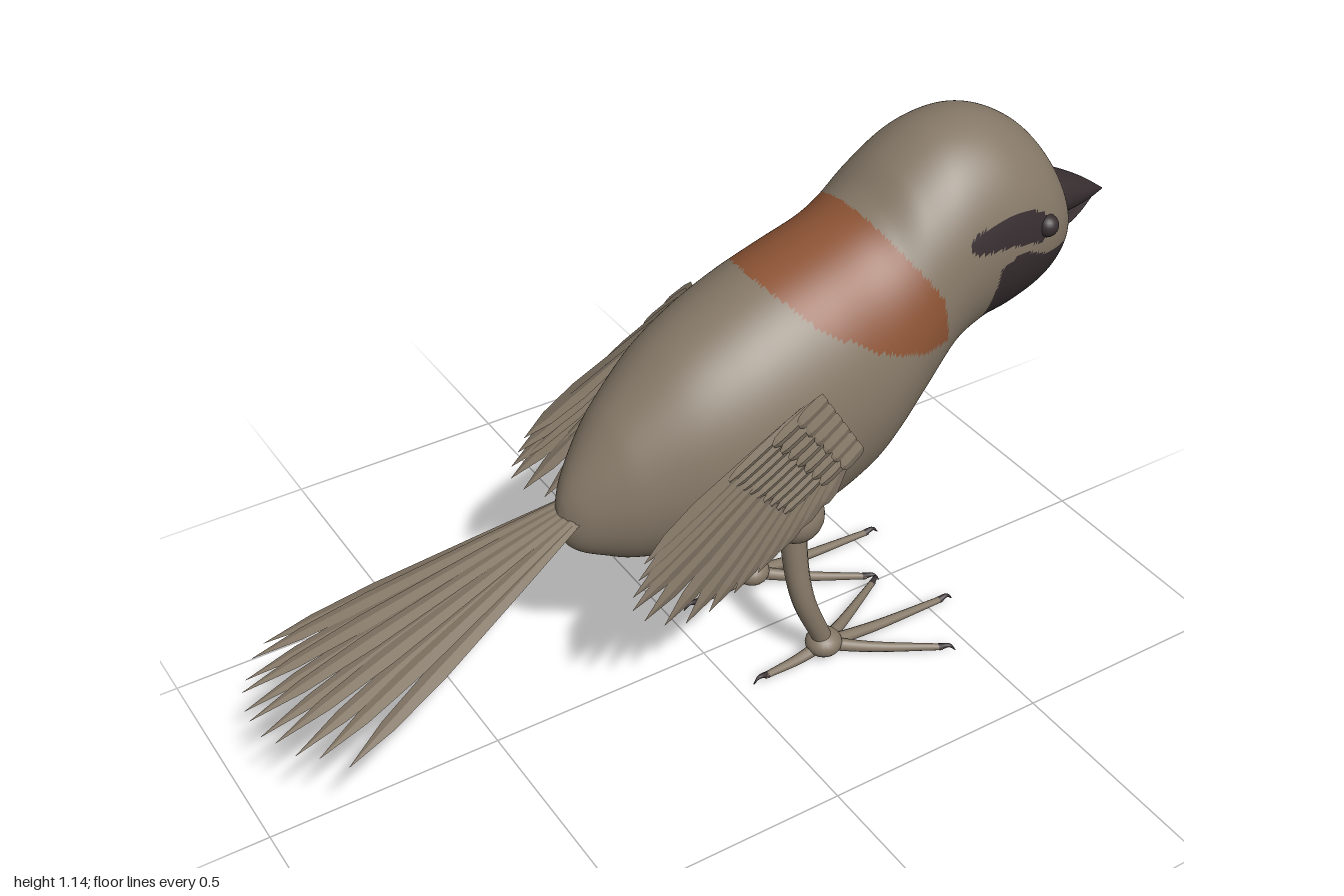
import * as THREE from 'three';

const V = (x, y, z) => new THREE.Vector3(x, y, z);
const plumage = new THREE.MeshStandardMaterial({ color: 0x857867, side: THREE.DoubleSide });
plumage.name = 'taupe plumage';
const dark = new THREE.MeshStandardMaterial({ color: 0x372e30 });
dark.name = 'dark mask';
const rust = new THREE.MeshStandardMaterial({ color: 0x8c5334 });
rust.name = 'rust saddle';

function add(parent, name, geometry, material) {
  const mesh = new THREE.Mesh(geometry, material);
  mesh.name = name;
  parent.add(mesh);
  return mesh;
}

// Smooth elliptical loft along x; sections are [x, top, bottom, halfWidth].
// classify(x, y) picks the material group of each face.
function loft(sections, slices, around, classify = () => 0) {
  const edge = new THREE.CatmullRomCurve3(sections.map(s => V(s[0], s[1], s[2])), false, 'catmullrom', 0.5);
  const width = new THREE.CatmullRomCurve3(sections.map(s => V(s[0], s[3], 0)), false, 'catmullrom', 0.5);
  const pos = [];
  for (let i = 0; i <= slices; i++) {
    const e = edge.getPoint(i / slices), w = Math.max(0, width.getPoint(i / slices).y);
    for (let j = 0; j < around; j++) {
      const a = (j / around) * Math.PI * 2;
      pos.push(e.x, (e.y + e.z) / 2 + (e.y - e.z) / 2 * Math.cos(a), w * Math.sin(a));
    }
  }
  const groups = [[], [], []];
  const face = (...f) => {
    const mean = k => f.reduce((sum, v) => sum + pos[v * 3 + k], 0) / 3;
    groups[classify(mean(0), mean(1))].push(...f);
  };
  for (let i = 0; i < slices; i++) {
    for (let j = 0; j < around; j++) {
      const k = (j + 1) % around, p = i * around, q = p + around;
      face(p + j, p + k, q + j);
      face(p + k, q + k, q + j);
    }
  }
  const g = new THREE.BufferGeometry();
  g.setAttribute('position', new THREE.Float32BufferAttribute(pos, 3));
  g.setIndex(groups.flat());
  let start = 0;
  groups.forEach((list, m) => {
    if (list.length) g.addGroup(start, list.length, m);
    start += list.length;
  });
  g.computeVertexNormals();
  return g;
}

function inside(poly, x, y) {
  let hit = false;
  for (let i = 0, j = poly.length - 1; i < poly.length; j = i++) {
    const [xi, yi] = poly[i], [xj, yj] = poly[j];
    if ((yi > y) !== (yj > y) && x < (xj - xi) * (y - yi) / (yj - yi) + xi) hit = !hit;
  }
  return hit;
}

// Tube whose radius runs from r0 to r1
function taperTube(points, r0, r1, segs = 16, sides = 10) {
  const curve = new THREE.CatmullRomCurve3(points);
  const g = new THREE.TubeGeometry(curve, segs, 1, sides, false);
  const p = g.attributes.position, v = V();
  for (let i = 0; i < p.count; i++) {
    const t = Math.floor(i / (sides + 1)) / segs, c = curve.getPointAt(t);
    v.fromBufferAttribute(p, i).sub(c).multiplyScalar(r0 + (r1 - r0) * t).add(c);
    p.setXYZ(i, v.x, v.y, v.z);
  }
  return g;
}

// Leaf-shaped feather with a raised shaft; profile is [t, widthFactor]
const POINTED = [[0, 0.35], [0.3, 0.7], [0.65, 1], [0.85, 0.75], [1, 0.02]];
const BLUNT = [[0, 0.8], [0.2, 1], [0.7, 1], [0.9, 0.8], [1, 0.35]];
function feather(root, tip, halfWidth, normal, profile) {
  const dir = tip.clone().sub(root);
  const side = normal.clone().cross(dir).normalize();
  const up = dir.clone().cross(side).normalize();
  const pos = [], idx = [];
  profile.forEach(([t, f], i) => {
    for (const s of [-1, 0, 1]) {
      const p = root.clone().addScaledVector(dir, t).addScaledVector(side, s * f * halfWidth)
        .addScaledVector(up, s === 0 ? 0.006 * f : 0);
      pos.push(p.x, p.y, p.z);
    }
    if (i) for (const c of [0, 1]) {
      const a = (i - 1) * 3 + c, b = a + 3;
      idx.push(a, b + 1, b, a, a + 1, b + 1);
    }
  });
  let g = new THREE.BufferGeometry();
  g.setAttribute('position', new THREE.Float32BufferAttribute(pos, 3));
  g.setIndex(idx);
  g = g.toNonIndexed();
  g.computeVertexNormals();
  return g;
}

function makeBody() {
  const sections = [
    [-0.335, 0.515, 0.505, 0], [-0.325, 0.56, 0.455, 0.03], [-0.3, 0.61, 0.425, 0.062], [-0.25, 0.68, 0.4, 0.102],
    [-0.2, 0.735, 0.38, 0.133], [-0.1, 0.82, 0.36, 0.178], [0, 0.878, 0.35, 0.206], [0.1, 0.922, 0.345, 0.22],
    [0.2, 0.955, 0.358, 0.225], [0.3, 0.988, 0.4, 0.22], [0.36, 1.025, 0.45, 0.213], [0.42, 1.08, 0.52, 0.205],
    [0.5, 1.127, 0.625, 0.198], [0.58, 1.142, 0.672, 0.194], [0.65, 1.13, 0.687, 0.189], [0.72, 1.09, 0.71, 0.174],
    [0.77, 1.035, 0.738, 0.148], [0.81, 0.965, 0.772, 0.11], [0.835, 0.9, 0.805, 0.065], [0.845, 0.85, 0.845, 0],
  ];
  const saddle = [[0.1, 0.925], [0.16, 0.865], [0.275, 0.795], [0.38, 0.76], [0.445, 0.765], [0.425, 0.865],
    [0.37, 0.945], [0.33, 1.01], [0.32, 1.1], [0.1, 1.1]];
  const bib = [[0.56, 0.6], [0.57, 0.88], [0.62, 0.905], [0.66, 0.89], [0.7, 0.87], [0.76, 0.865], [0.81, 0.84], [0.9, 0.83], [0.9, 0.6]];
  const mask = [[0.485, 0.955], [0.51, 0.975], [0.56, 0.987], [0.64, 0.99], [0.68, 0.97], [0.7, 0.93], [0.675, 0.908], [0.6, 0.925], [0.515, 0.932]];
  return loft(sections, 209, 160, (x, y) =>
    inside(bib, x, y) || inside(mask, x, y) ? 1 : inside(saddle, x, y) ? 2 : 0);
}

function makeWing() {
  const wing = new THREE.Group();
  const out = V(0, 0, 1);
  // long flight feathers, upper to lower
  const tips = new THREE.CatmullRomCurve3([V(-0.28, 0.54, 0.236), V(-0.312, 0.445, 0.244),
    V(-0.19, 0.35, 0.236), V(-0.02, 0.4, 0.232), V(0.12, 0.5, 0.232)]);
  const n = 13;
  for (let i = 0; i < n; i++) {
    const t = i / (n - 1);
    const root = V(0.08 + 0.11 * t, 0.745 - 0.14 * t, 0.222 + 0.0006 * i);
    add(wing, 'flightFeather', feather(root, tips.getPoint(t), 0.026, out, POINTED), plumage);
  }
  // overlapping covert rows: [count, length, z, offset back]
  for (const [count, length, z, back] of [[9, 0.2, 0.231, 0.04], [7, 0.12, 0.236, 0.015], [6, 0.075, 0.239, 0]]) {
    for (let i = 0; i < count; i++) {
      const t = i / (count - 1);
      const x = 0.125 + 0.09 * t - back, y = 0.765 - 0.145 * t - back * 0.4;
      const len = length * (1 - 0.2 * t);
      const root = V(x, y, z - 0.004), tip = V(x - len * 0.88, y - len * 0.47, z + 0.002 + 0.0005 * i);
      add(wing, 'covertFeather', feather(root, tip, 0.1 / count + 0.004, out, BLUNT), plumage);
    }
  }
  return wing;
}

function makeLeg() {
  const leg = new THREE.Group();
  add(leg, 'thigh', new THREE.SphereGeometry(0.062, 24, 16), plumage).position.set(0.135, 0.415, 0.13);
  add(leg, 'shank', taperTube([V(0.14, 0.42, 0.118), V(0.14, 0.3, 0.13), V(0.155, 0.19, 0.142), V(0.215, 0.045, 0.14)],
    0.03, 0.021, 24, 14), plumage);
  const ankle = add(leg, 'ankle', new THREE.SphereGeometry(0.04, 20, 14), plumage);
  ankle.position.set(0.215, 0.04, 0.14);
  ankle.scale.y = 0.75;
  // three front toes and one back toe, each with a hooked claw
  for (const [x, z] of [[0.535, 0.14], [0.44, 0.268], [0.44, 0.012], [0.065, 0.14]]) {
    const at = (f, y) => V(0.215 + (x - 0.215) * f, y, 0.14 + (z - 0.14) * f);
    add(leg, 'toe', taperTube([at(0, 0.035), at(0.4, 0.02), at(1, 0.013)], 0.015, 0.007), plumage);
    const len = Math.hypot(x - 0.215, z - 0.14), c = 0.028 / len;
    add(leg, 'claw', taperTube([at(1 - c * 0.3, 0.013), at(1 + c * 0.5, 0.017), at(1 + c, 0.003)], 0.008, 0.001, 8, 8), dark);
  }
  return leg;
}

export function createModel() {
  const bird = new THREE.Group();
  bird.name = 'bird';
  add(bird, 'body', makeBody(), [plumage, dark, rust]);

  // beak
  add(bird, 'upperBeak', loft([[0.79, 0.895, 0.88, 0], [0.8, 0.94, 0.835, 0.055], [0.835, 0.942, 0.832, 0.064],
    [0.885, 0.92, 0.833, 0.051], [0.945, 0.885, 0.836, 0.028], [1, 0.845, 0.842, 0]], 40, 32), dark);
  add(bird, 'lowerBeak', loft([[0.79, 0.83, 0.825, 0], [0.81, 0.84, 0.812, 0.055], [0.85, 0.837, 0.814, 0.058],
    [0.91, 0.838, 0.822, 0.036], [0.98, 0.841, 0.837, 0]], 30, 28), dark);

  // tail fan
  const tail = new THREE.Group();
  tail.name = 'tail';
  for (let i = 0; i < 11; i++) {
    const s = (i - 5) / 5;
    const root = V(-0.27, 0.535 + 0.004 * (i % 2), 0.025 * s);
    const tip = V(-1 + 0.11 * s * s, 0.303 + 0.01 * (i % 2), 0.2 * s);
    add(tail, 'tailFeather', feather(root, tip, 0.023, V(0, 1, 0), POINTED), plumage);
  }
  bird.add(tail);

  // mirrored parts
  for (const [side, sign] of [['near', 1], ['far', -1]]) {
    const half = new THREE.Group();
    half.name = side + 'Side';
    half.scale.z = sign;
    const wing = makeWing(), leg = makeLeg();
    wing.name = side + 'Wing';
    leg.name = side + 'Leg';
    half.add(wing, leg);
    add(half, 'eye', new THREE.SphereGeometry(0.024, 20, 14), dark).position.set(0.693, 0.935, 0.174);
    bird.add(half);
  }
  return bird;
}
